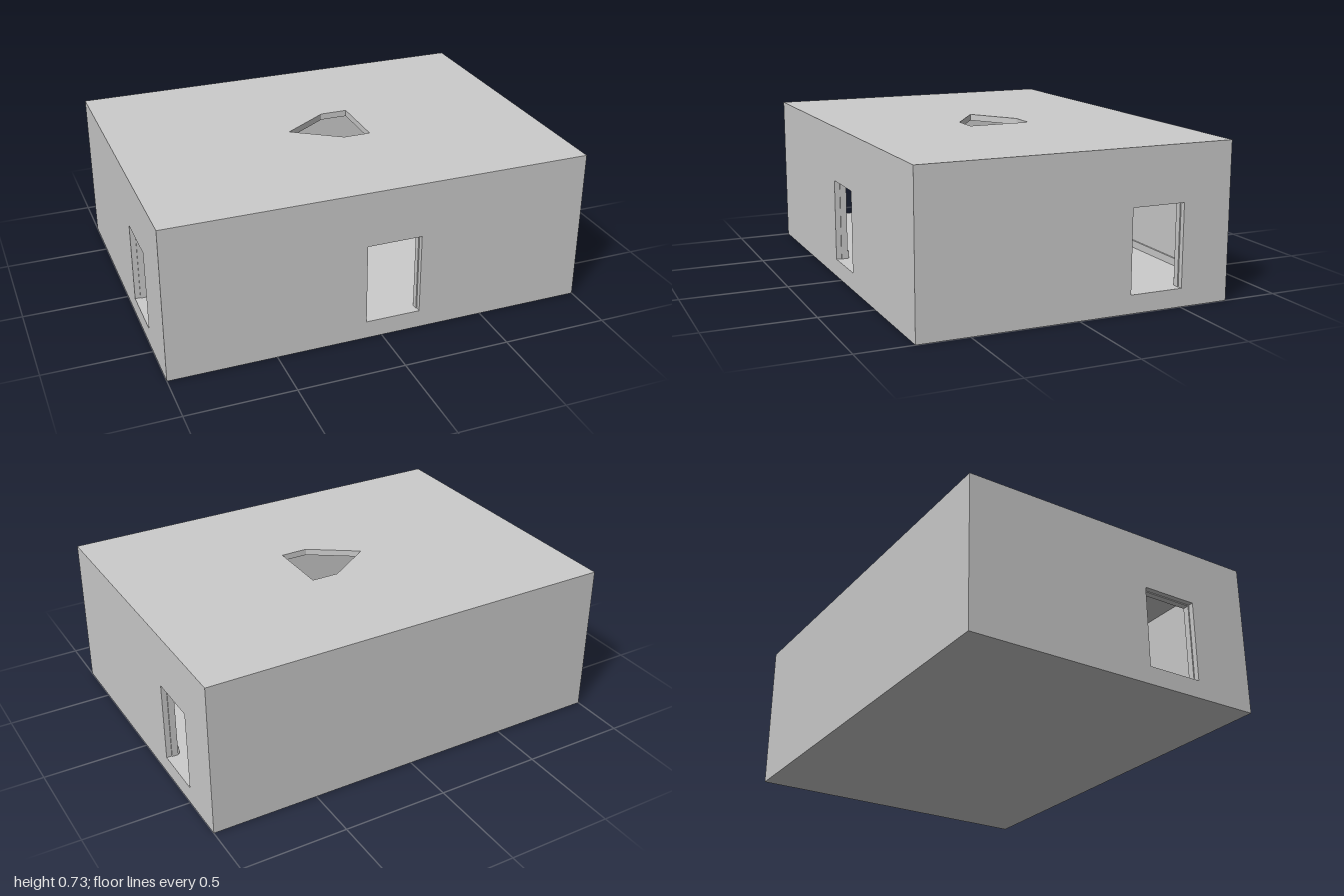
import * as THREE from 'three';

const W = 2, D = 1.48, H = 0.73;      // overall size
const OUTER = 0.025, INNER = 0.03;    // the two layers of each wall
const T = OUTER + INNER;
const ROOF = 0.03, FLOOR = 0.085, DOOR_TOP = 0.47, SKIRT_TOP = 0.12;

const material = new THREE.MeshStandardMaterial({ color: 0xcccccc, flatShading: true });

function mesh(name, geometry) {
  const m = new THREE.Mesh(geometry, material);
  m.name = name;
  return m;
}

function polygon(Type, points) {
  return new Type(points.map(([x, y]) => new THREE.Vector2(x, y)));
}

const rect = (x0, y0, x1, y1) => [[x0, y0], [x1, y0], [x1, y1], [x0, y1]];

// Flat slab from an outline with an optional hole, extruded along +z
function slab(outline, hole, depth) {
  const shape = polygon(THREE.Shape, outline);
  if (hole) shape.holes.push(polygon(THREE.Path, hole));
  return new THREE.ExtrudeGeometry(shape, { depth, bevelEnabled: false });
}

// Wall with its outer face at local z = 0; opening is [x0, x1] along the wall
function wall(name, length, insideLength, opening) {
  const group = new THREE.Group();
  group.name = name;
  const half = length / 2, top = H - ROOF;
  const hole = (inset) => opening &&
    rect(opening[0] + inset, FLOOR, opening[1] - inset, DOOR_TOP - inset);

  const skin = mesh('outerWall', slab(rect(-half, 0, half, top), hole(0), OUTER));
  skin.position.z = -OUTER;
  const lining = mesh('innerWall', slab(rect(-half, 0, half, top), hole(0.005), INNER));
  lining.position.z = -T;
  group.add(skin, lining);

  // Low skirting, interrupted at the opening
  const end = insideLength / 2;
  const runs = opening ? [[-end, opening[0]], [opening[1], end]] : [[-end, end]];
  for (const [a, b] of runs) {
    const skirt = mesh('skirting', new THREE.BoxGeometry(b - a, SKIRT_TOP - FLOOR, 0.008));
    skirt.position.set((a + b) / 2, (SKIRT_TOP + FLOOR) / 2, -T - 0.004);
    group.add(skirt);
  }
  return group;
}

export function createModel() {
  const model = new THREE.Group();
  model.name = 'room';
  const insideW = W - 2 * T, insideD = D - 2 * T;

  // Four walls, doorways in three of them
  const front = wall('frontWall', W, insideW, [-0.075, 0.185]);
  front.position.z = D / 2;
  const back = wall('backWall', W, insideW, null);
  back.position.z = -D / 2;
  back.rotation.y = Math.PI;
  const left = wall('leftWall', insideD, insideD, [0.25, 0.505]);
  left.position.x = W / 2;
  left.rotation.y = Math.PI / 2;
  const right = wall('rightWall', insideD, insideD, [0.17, 0.44]);
  right.position.x = -W / 2;
  right.rotation.y = -Math.PI / 2;
  model.add(front, back, left, right);

  // Raised floor
  const floor = mesh('floor', new THREE.BoxGeometry(insideW, FLOOR, insideD));
  floor.position.y = FLOOR / 2;
  model.add(floor);

  // Roof with a five-sided skylight
  const skylight = [[-0.17, 0], [0.05, -0.15], [0.18, -0.15], [0.18, 0.15], [0.05, 0.15]];
  const roof = mesh('roof', slab(rect(-W / 2, -D / 2, W / 2, D / 2), skylight, ROOF));
  roof.rotation.x = -Math.PI / 2;
  roof.position.y = H - ROOF;
  model.add(roof);

  return model;
}
